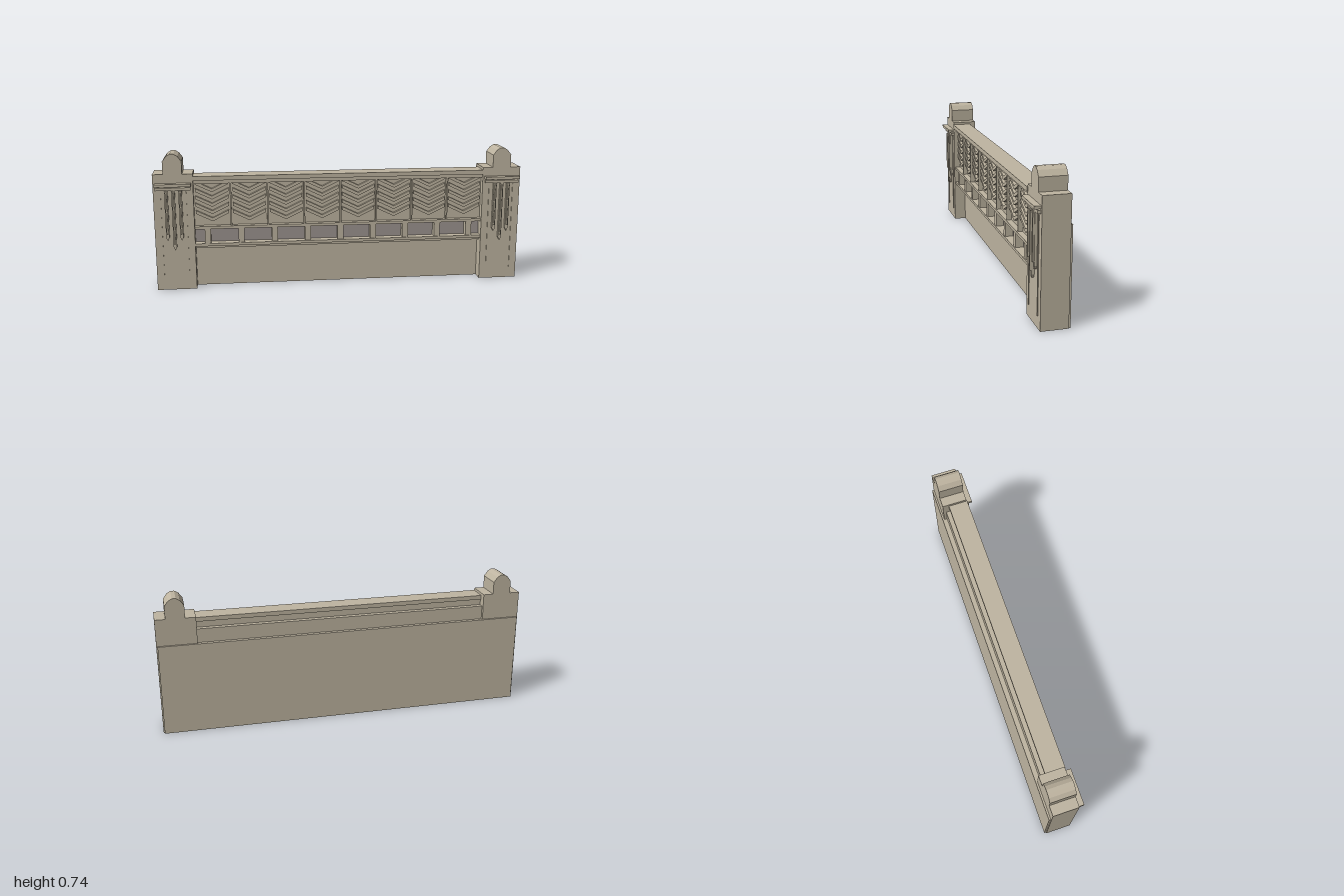
import * as THREE from 'three';

const stone = new THREE.MeshStandardMaterial({ color: 0xbfb5a1 });
stone.name = 'warm stone';
const shade = new THREE.MeshStandardMaterial({ color: 0x9d9491 });
shade.name = 'grey niche';

// Box given by its limits on each axis
function box(parent, name, [x0, x1], [y0, y1], [z0, z1], material = stone) {
  const mesh = new THREE.Mesh(new THREE.BoxGeometry(x1 - x0, y1 - y0, z1 - z0), material);
  mesh.position.set((x0 + x1) / 2, (y0 + y1) / 2, (z0 + z1) / 2);
  mesh.name = name;
  parent.add(mesh);
  return mesh;
}

// Outline in x and y, extruded between two depths
function plate(parent, name, points, z0, z1) {
  const shape = new THREE.Shape(points.map(([x, y]) => new THREE.Vector2(x, y)));
  const geometry = new THREE.ExtrudeGeometry(shape, { depth: z1 - z0, bevelEnabled: false });
  const mesh = new THREE.Mesh(geometry, stone);
  mesh.position.z = z0;
  mesh.name = name;
  parent.add(mesh);
  return mesh;
}

function makePier(x) {
  const pier = new THREE.Group();
  pier.name = 'pier';
  pier.position.x = x;

  // Shouldered block with a rounded, faceted crest
  plate(pier, 'pierBody', [
    [-0.105, 0], [0.105, 0], [0.105, 0.635], [0.05, 0.635], [0.05, 0.703], [0.03, 0.73], [0.01, 0.742],
    [-0.01, 0.742], [-0.03, 0.73], [-0.05, 0.703], [-0.05, 0.635], [-0.105, 0.635],
  ], -0.08, 0.057);

  // Two stacked ledges
  box(pier, 'upperLedge', [-0.095, 0.095], [0.572, 0.587], [0.055, 0.09]);
  box(pier, 'lowerLedge', [-0.093, 0.093], [0.55, 0.565], [0.055, 0.073]);

  // Pointed pendants, each with a narrower rib in front
  for (const i of [-1, 0, 1]) {
    const drop = i === 0 ? 0 : 0.054;
    const pendant = new THREE.Group();
    pendant.name = 'pendant';
    pendant.position.x = i * 0.037;
    plate(pendant, 'pendantBar', [
      [0, 0.222 + drop], [0.009, 0.24 + drop], [0.009, 0.547], [-0.009, 0.547], [-0.009, 0.24 + drop],
    ], 0.056, 0.07);
    box(pendant, 'pendantRib', [-0.004, 0.004], [0.257 + drop, 0.54], [0.069, 0.078]);
    pier.add(pendant);
  }

  // Thin upright fillets
  for (const s of [-1, 1]) {
    box(pier, 'fillet', [s * 0.067 - 0.002, s * 0.067 + 0.002], [0.062, 0.54], [0.056, 0.061]);
  }
  return pier;
}

// Pleated panel of nested V mouldings
function makeChevronPanel(x) {
  const panel = new THREE.Group();
  panel.name = 'chevronPanel';
  panel.position.x = x;
  const half = 0.088, rise = 0.043, thick = 0.018;
  for (let i = 0; i < 5; i++) {
    const y = 0.37 + i * 0.04;
    plate(panel, 'chevron', [
      [0, y], [half, y + rise], [half, y + rise + thick], [0, y + thick],
      [-half, y + rise + thick], [-half, y + rise],
    ], 0.018, 0.036);
  }
  return panel;
}

export function createModel() {
  const model = new THREE.Group();
  model.name = 'parapetWall';
  const span = [-0.79, 0.79];

  for (const s of [-1, 1]) model.add(makePier(s * 0.893));
  box(model, 'backSlab', [-0.992, 0.992], [0, 0.492], [-0.09, -0.079]);

  // Wall courses from the ground up
  box(model, 'lowerWall', span, [0, 0.222], [-0.08, -0.01]);
  box(model, 'nicheWall', span, [0.222, 0.34], [-0.08, 0]);
  box(model, 'sill', span, [0.235, 0.25], [-0.01, 0.05]);
  box(model, 'sillMoulding', span, [0.222, 0.236], [-0.02, 0.035]);
  box(model, 'panelWall', span, [0.34, 0.49], [-0.08, 0.02]);
  box(model, 'upperWall', span, [0.49, 0.565], [-0.064, 0.02]);
  box(model, 'topNeck', span, [0.565, 0.602], [-0.037, 0.02]);
  box(model, 'niches', span, [0.25, 0.33], [-0.004, 0.004], shade);
  box(model, 'rail', span, [0.33, 0.345], [-0.01, 0.05]);
  box(model, 'frieze', span, [0.578, 0.6], [0.01, 0.045]);
  box(model, 'coping', span, [0.598, 0.621], [-0.045, 0.061]);

  // Short posts of the niche row
  for (let i = -4; i <= 4; i++) {
    box(model, 'post', [i * 0.18 - 0.016, i * 0.18 + 0.016], [0.249, 0.331], [0, 0.045]);
  }

  // Eight panels with slim dividers
  const step = 1.58 / 8;
  for (let i = 0; i < 8; i++) {
    model.add(makeChevronPanel((i - 3.5) * step));
    const x = (i - 4) * step;
    if (i > 0) box(model, 'divider', [x - 0.004, x + 0.004], [0.344, 0.579], [0.015, 0.045]);
  }
  return model;
}
